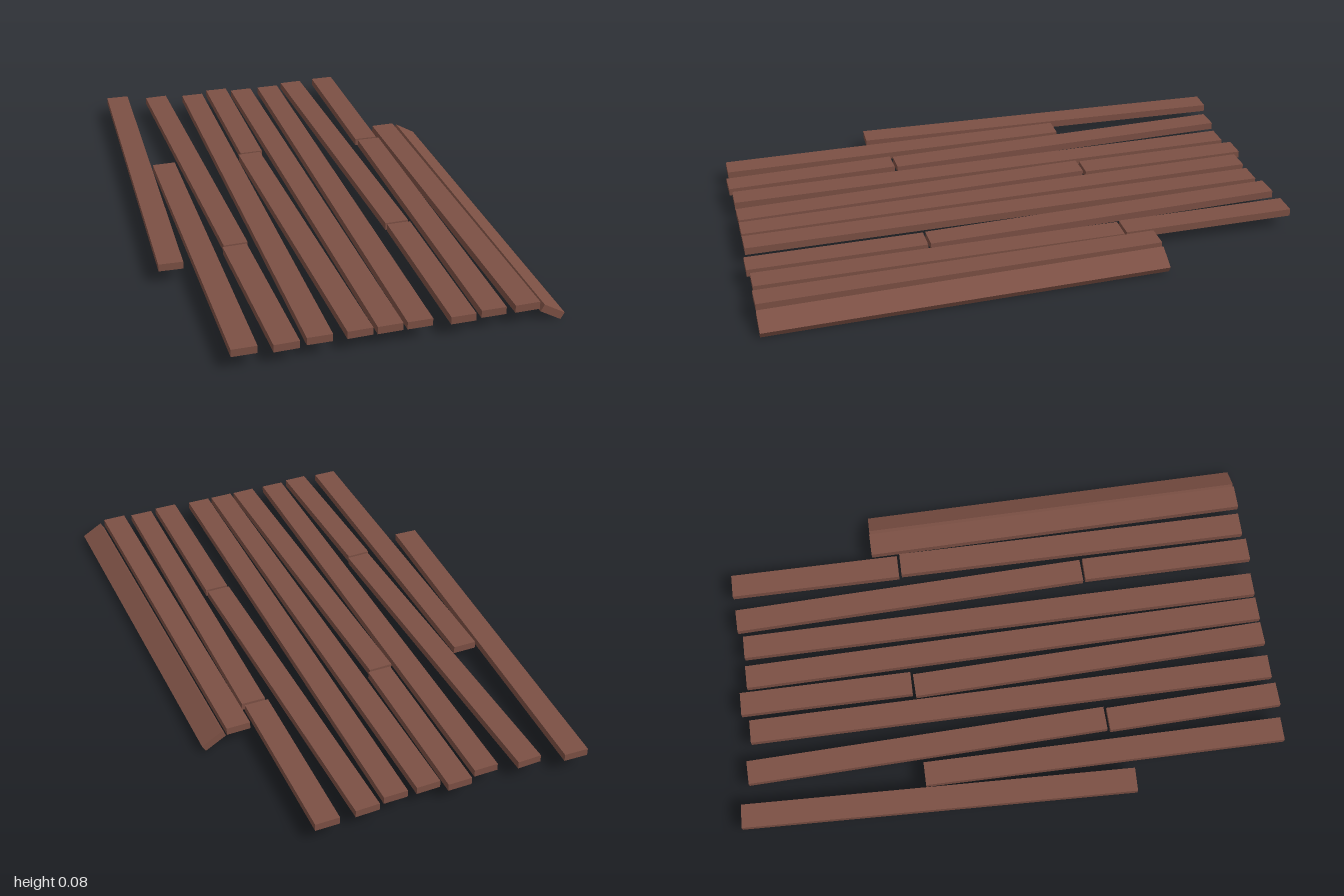
import * as THREE from 'three';

const WIDTH = 0.086, THICK = 0.027;

// Each plank runs from its back end to its front end: [xBack, zBack, xFront, zFront, height]
const PLANKS = [
  [-0.529, -0.998, -0.577, 0.425, 0.067],
  [-0.457, -0.33, -0.457, 0.985, 0.064],
  [-0.37, -0.965, -0.333, 0.35, 0.064],
  [-0.339, 0.36, -0.323, 0.995, 0.064],
  [-0.217, -0.945, -0.213, 0.985, 0.064],
  [-0.107, -0.972, -0.107, -0.34, 0.064],
  [-0.117, -0.33, -0.08, 0.985, 0.064],
  [-0.005, -0.945, 0.02, 0.985, 0.064],
  [0.113, -0.945, 0.12, 0.985, 0.064],
  [0.222, -0.965, 0.259, 0.35, 0.064],
  [0.262, 0.36, 0.264, 0.995, 0.064],
  [0.365, -0.972, 0.365, -0.34, 0.064],
  [0.372, -0.33, 0.372, 0.985, 0.064],
  [0.467, -0.435, 0.487, 0.99, 0.067],
];

export function createModel() {
  const model = new THREE.Group();
  model.name = 'plankFloor';
  const wood = new THREE.MeshStandardMaterial({ color: 0x7c5044 });
  wood.name = 'brown wood';

  // A straight board laid between two end points, optionally rolled about its length
  function addPlank(name, back, front, roll = 0) {
    const length = back.distanceTo(front);
    const plank = new THREE.Mesh(new THREE.BoxGeometry(WIDTH, THICK, length), wood);
    plank.name = name;
    plank.position.copy(back).lerp(front, 0.5);
    plank.lookAt(front);
    plank.rotateZ(roll);
    model.add(plank);
  }

  // Flat floor planks
  PLANKS.forEach(([xb, zb, xf, zf, y], i) =>
    addPlank(`plank${i + 1}`, new THREE.Vector3(xb, y, zb), new THREE.Vector3(xf, y, zf)));

  // Fallen plank leaning off the left edge down to the ground
  addPlank('leaningPlank', new THREE.Vector3(0.557, 0.041, -0.435),
    new THREE.Vector3(0.577, 0.034, 0.99), -Math.PI / 6);

  return model;
}
